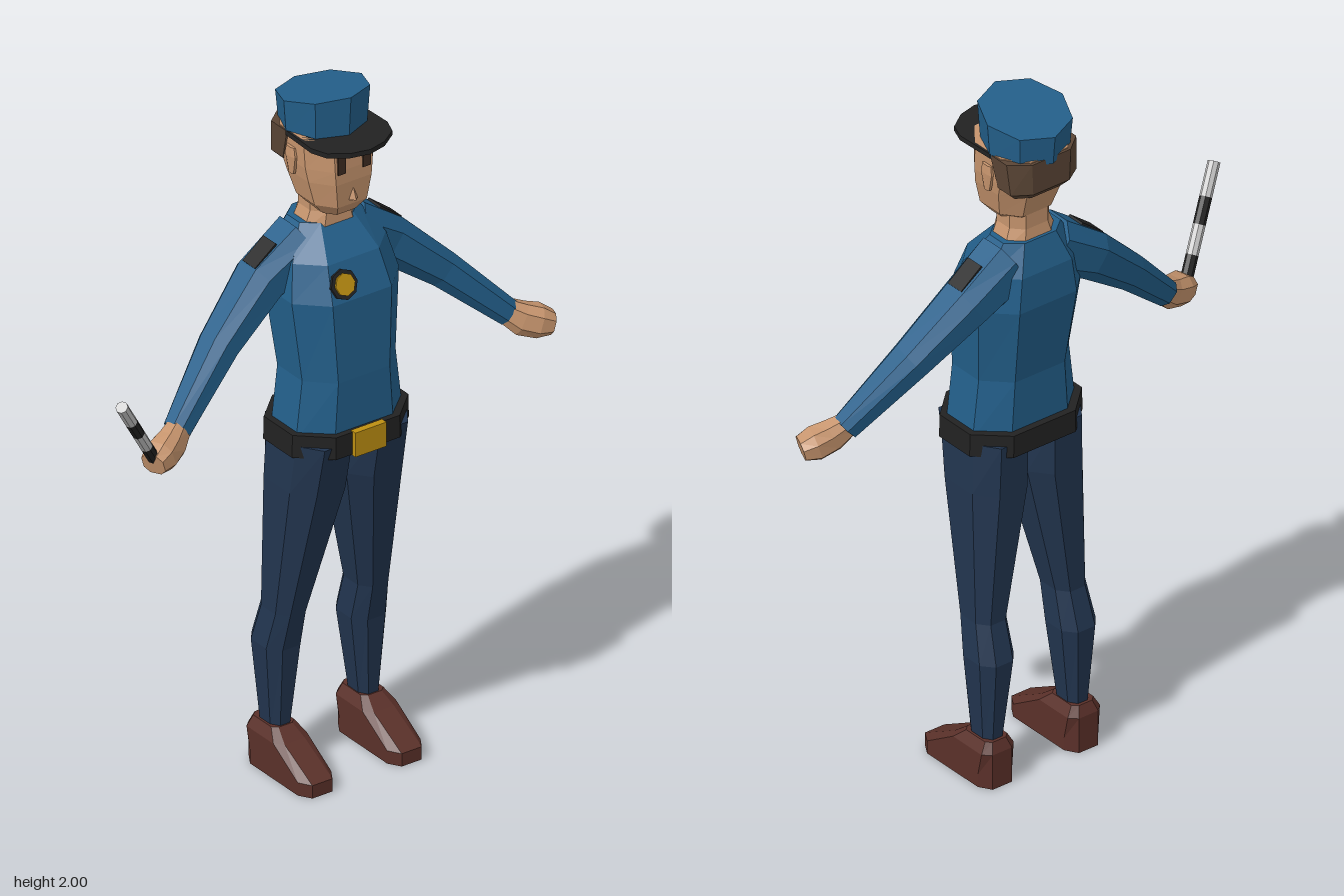
import * as THREE from 'three';

const mat = (name, color) => {
  const m = new THREE.MeshStandardMaterial({ color });
  m.name = name;
  return m;
};

// Octagonal cross-section: k and m set how wide the flat sides are
const octagon = (k, m) => [[1, -m], [1, m], [k, 1], [-k, 1], [-1, m], [-1, -m], [-k, -1], [k, -1]];

// Closed skin over a list of rings of Vector3
function loft(rings) {
  const n = rings[0].length, pos = [];
  const tri = (...p) => p.forEach(v => pos.push(v.x, v.y, v.z));
  for (let i = 0; i < rings.length - 1; i++) {
    for (let j = 0; j < n; j++) {
      const l = (j + 1) % n, a = rings[i], b = rings[i + 1];
      tri(a[j], a[l], b[l]);
      tri(a[j], b[l], b[j]);
    }
  }
  const first = rings[0], last = rings[rings.length - 1];
  for (let j = 1; j < n - 1; j++) {
    tri(first[0], first[j + 1], first[j]);
    tri(last[0], last[j], last[j + 1]);
  }
  const g = new THREE.BufferGeometry();
  g.setAttribute('position', new THREE.Float32BufferAttribute(pos, 3));
  return g;
}

// Upright form; rows are [y, xMin, xMax, zFront, zBack]
const upright = (rows, k = 0.55, m = 0.45) => loft(rows.map(([y, x0, x1, zf, zb]) =>
  octagon(k, m).map(([u, v]) => new THREE.Vector3(
    (x0 + x1) / 2 + u * (x1 - x0) / 2, y, (zf + zb) / 2 - v * (zf - zb) / 2))));

// Symmetric upright form; rows are [y, halfWidth, zFront, zBack]
const column = (rows, k, m) => upright(rows.map(([y, h, f, b]) => [y, -h, h, f, b]), k, m);

// Limb along a path; rows are [x, y, z, halfHeight, halfDepth]
function limb(rows, side) {
  const c = rows.map(r => new THREE.Vector3(side * r[0], r[1], r[2]));
  return loft(rows.map((r, i) => {
    const w = c[Math.min(i + 1, c.length - 1)].clone().sub(c[Math.max(i - 1, 0)]).normalize();
    const U = new THREE.Vector3(0, 0, 1).cross(w).normalize();
    const V = w.clone().cross(U);
    return octagon(0.5, 0.5).map(([u, v]) =>
      c[i].clone().addScaledVector(U, u * r[3]).addScaledVector(V, v * r[4]));
  }));
}

export function createModel() {
  const shirt = mat('shirt blue', 0x235f8a), navy = mat('trouser navy', 0x22354f);
  const black = mat('black', 0x222222), leather = mat('shoe brown', 0x5a3029);
  const skin = mat('skin', 0xc6946d), hairMat = mat('hair brown', 0x5a4535);
  const gold = mat('gold', 0xbd8f12), white = mat('pale grey', 0xc4c4c4);
  const eyeMat = mat('eye brown', 0x3d2c22);

  const model = new THREE.Group();
  model.name = 'officer';
  const body = new THREE.Group();
  body.name = 'body';
  body.position.x = 0.085;
  model.add(body);

  // Adds a faceted mesh
  const add = (name, geo, material, x = 0, y = 0, z = 0) => {
    const g = geo.index ? geo.toNonIndexed() : geo;
    g.computeVertexNormals();
    const mesh = new THREE.Mesh(g, material);
    mesh.name = name;
    mesh.position.set(x, y, z);
    body.add(mesh);
    return mesh;
  };
  const box = (w, h, d) => new THREE.BoxGeometry(w, h, d);

  // Torso, belt and buckle
  add('torso', column([
    [1.03, 0.17, 0.125, -0.12], [1.2, 0.15, 0.125, -0.12], [1.43, 0.172, 0.117, -0.155],
    [1.53, 0.15, 0.078, -0.15], [1.615, 0.095, 0.005, -0.122]]), shirt);
  add('belt', column([[0.987, 0.188, 0.142, -0.14], [1.053, 0.186, 0.142, -0.14]]), black);
  add('buckle', box(0.1, 0.072, 0.02), gold, 0, 1.02, 0.145);

  // Chest badge
  const tilt = Math.PI / 2 - 0.37;
  add('badgeBacking', new THREE.CylinderGeometry(0.042, 0.042, 0.009, 8).rotateX(tilt), black, -0.05, 1.476, 0.103);
  add('badge', new THREE.CylinderGeometry(0.031, 0.031, 0.009, 8).rotateX(tilt), gold, -0.05, 1.478, 0.108);

  // Paired parts
  for (const s of [1, -1]) {
    const side = s > 0 ? 'left' : 'right';
    const mirrored = rows => rows.map(([y, a, b, f, k]) => s > 0 ? [y, a, b, f, k] : [y, -b, -a, f, k]);
    add(side + 'Leg', upright(mirrored([
      [0.12, 0.112, 0.172, -0.03, -0.12], [0.37, 0.08, 0.193, -0.008, -0.144],
      [0.48, 0.083, 0.182, 0.015, -0.112], [0.87, 0, 0.183, 0.105, -0.125],
      [1.02, 0, 0.178, 0.135, -0.128]]), 0.5, 0.5), navy);
    add(side + 'Shoe', upright(mirrored([
      [0, 0.09, 0.197, 0.138, -0.143], [0.038, 0.09, 0.197, 0.138, -0.143],
      [0.105, 0.09, 0.197, 0.015, -0.143], [0.135, 0.107, 0.18, -0.025, -0.13]]), 0.6, 0.75), leather);
    add(side + 'Sleeve', limb([
      [0.07, 1.54, -0.06, 0.08, 0.072], [0.2, 1.465, -0.062, 0.066, 0.066],
      [0.355, 1.335, -0.03, 0.05, 0.052], [0.53, 1.168, 0.027, 0.036, 0.034]], s), shirt);
    add(side + 'Hand', limb([
      [0.51, 1.183, 0.022, 0.03, 0.026], [0.56, 1.147, 0.045, 0.043, 0.035],
      [0.605, 1.132, 0.06, 0.043, 0.042], [0.64, 1.122, 0.074, 0.03, 0.034]], s), skin);
    add(side + 'ShoulderPatch', box(0.085, 0.009, 0.055), black, s * 0.2, 1.546, -0.06).rotation.z = -s * 0.66;
    add(side + 'Eye', box(0.025, 0.052, 0.009), eyeMat, s * 0.04, 1.817, 0.079);
    add(side + 'Ear', upright([
      [-0.042, -0.006, 0.006, 0.01, -0.012], [0.01, -0.01, 0.01, 0.02, -0.024],
      [0.036, -0.008, 0.008, 0.014, -0.02]]), skin, s * 0.111, 1.808, -0.04);
  }

  // Neck and head
  add('neck', column([[1.59, 0.088, 0.015, -0.118], [1.645, 0.066, 0.01, -0.108], [1.72, 0.066, 0.01, -0.108]]), skin);
  add('head', column([
    [1.65, 0.052, 0.045, -0.06], [1.688, 0.085, 0.073, -0.108], [1.76, 0.103, 0.08, -0.135],
    [1.8, 0.109, 0.08, -0.155], [1.885, 0.112, 0.075, -0.16]]), skin);
  add('nose', new THREE.ConeGeometry(0.014, 0.035, 4), skin, 0, 1.722, 0.077);
  add('hair', column([
    [1.765, 0.085, -0.06, -0.145], [1.79, 0.11, -0.05, -0.168], [1.882, 0.116, -0.015, -0.168]]), hairMat);

  // Cap crown, its top sloping down to the back
  const crown = new THREE.CylinderGeometry(0.125, 0.117, 0.1, 8);
  const p = crown.attributes.position;
  for (let i = 0; i < p.count; i++) {
    p.setY(i, p.getY(i) > 0 ? 1.975 + 0.2 * p.getZ(i) : 1.873 + 0.06 * p.getZ(i));
  }
  add('capCrown', crown, shirt, 0, 0, -0.058);

  // Cap visor
  const brim = [[-0.118, -0.06], [0.118, -0.06], [0.122, 0.06], [0.105, 0.105], [0.055, 0.14],
    [0, 0.153], [-0.055, 0.14], [-0.105, 0.105], [-0.122, 0.06]];
  const visor = new THREE.Shape(brim.map(([x, z]) => new THREE.Vector2(x, z)));
  add('capVisor', new THREE.ExtrudeGeometry(visor, { depth: 0.014, bevelEnabled: false }).rotateX(Math.PI / 2),
    black, 0, 1.885, 0);

  // Striped baton in the right hand
  const start = new THREE.Vector3(-0.625, 1.125, 0.06), end = new THREE.Vector3(-0.808, 1.39, 0.165);
  const axis = end.clone().sub(start), length = axis.length();
  const stops = [0, 0.26, 0.5, 0.72, 1];
  for (let i = 0; i < 4; i++) {
    const mid = start.clone().addScaledVector(axis, (stops[i] + stops[i + 1]) / 2);
    const part = add('batonBand' + (i + 1),
      new THREE.CylinderGeometry(0.017, 0.017, length * (stops[i + 1] - stops[i]), 8),
      i % 2 ? white : black, mid.x, mid.y, mid.z);
    part.quaternion.setFromUnitVectors(new THREE.Vector3(0, 1, 0), axis.clone().normalize());
  }
  return model;
}
